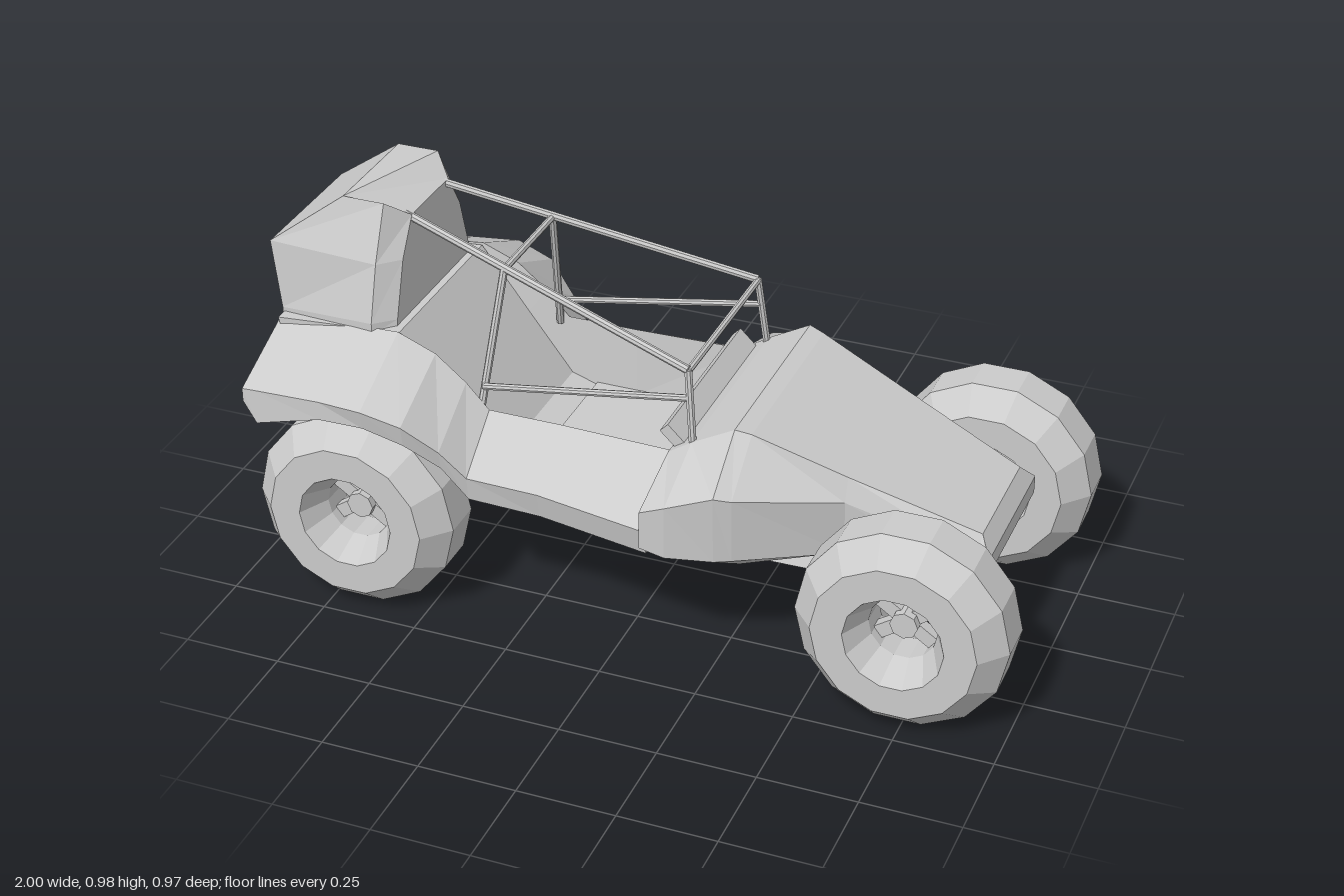
import * as THREE from 'three';
import { mergeVertices } from 'three/addons/utils/BufferGeometryUtils.js';

const grey = new THREE.MeshStandardMaterial({ color: 0xcccccc, flatShading: true });

function part(group, name, geometry) {
  const mesh = new THREE.Mesh(geometry, grey);
  mesh.name = name;
  group.add(mesh);
  return mesh;
}

// Closed solid through equal-length rings of [x, y, z] points, capped at both ends
function loft(rings) {
  const n = rings[0].length, p = rings.flat(), index = [];
  for (let r = 0; r < rings.length - 1; r++) {
    for (let i = 0; i < n; i++) {
      const a = r * n + i, b = r * n + (i + 1) % n;
      index.push(a, b, b + n, a, b + n, a + n);
    }
  }
  const last = (rings.length - 1) * n;
  for (let i = 1; i < n - 1; i++) {
    index.push(0, i + 1, i, last, last + i, last + i + 1);
  }
  // turn the faces outward when the enclosed volume is negative
  let volume = 0;
  for (let i = 0; i < index.length; i += 3) {
    const [a, b, c] = [0, 1, 2].map(k => new THREE.Vector3(...p[index[i + k]]));
    volume += a.dot(b.cross(c));
  }
  if (volume < 0) index.reverse();
  const g = new THREE.BufferGeometry();
  g.setAttribute('position', new THREE.Float32BufferAttribute(p.flat(), 3));
  g.setIndex(index);
  g.computeVertexNormals();
  return g;
}

// Symmetric ring from a half outline of [z, y] pairs at one x
const fullRing = (x, half) => [
  ...half.map(([z, y]) => [x, y, z]),
  ...half.map(([z, y]) => [x, y, -z]).reverse(),
];

function bar(group, name, a, b, r, sides = 8) {
  const from = new THREE.Vector3(...a), to = new THREE.Vector3(...b);
  const dir = to.clone().sub(from);
  const mesh = part(group, name, new THREE.CylinderGeometry(r, r, dir.length(), sides));
  mesh.position.copy(from).add(to).multiplyScalar(0.5);
  mesh.quaternion.setFromUnitVectors(new THREE.Vector3(0, 1, 0), dir.normalize());
}

function makeWheel(name) {
  const wheel = new THREE.Group();
  wheel.name = name;
  const profile = [[0.085, -0.04], [0.125, -0.12], [0.205, -0.12], [0.265, -0.053], [0.265, 0.053],
    [0.205, 0.12], [0.125, 0.12], [0.085, 0.04], [0.085, -0.04]];
  const tyre = new THREE.LatheGeometry(profile.map(q => new THREE.Vector2(...q)), 14);
  tyre.rotateY(Math.PI / 14).rotateX(Math.PI / 2);
  part(wheel, 'tyre', tyre);
  part(wheel, 'hub', new THREE.CylinderGeometry(0.035, 0.035, 0.07, 8).rotateX(Math.PI / 2));
  for (const a of [0.6, -0.6]) {
    part(wheel, 'spokes', new THREE.BoxGeometry(0.175, 0.035, 0.03)).rotation.z = a;
  }
  return wheel;
}

export function createModel() {
  const model = new THREE.Group();
  model.name = 'buggy';

  // Wheels and axles
  for (const [end, x] of [['front', 0.735], ['rear', -0.685]]) {
    for (const s of [1, -1]) {
      const wheel = makeWheel(end + 'Wheel');
      wheel.position.set(x, 0.26, s * 0.364);
      model.add(wheel);
    }
    bar(model, end + 'Axle', [x, 0.26, -0.36], [x, 0.26, 0.36], 0.024, 10);
  }

  // Hood: shoulders flare beside the cockpit and taper to the nose
  part(model, 'hood', loft([
    [0.09, [[0.27, 0.52], [0.46, 0.46], [0.46, 0.36], [0.38, 0.31]]],
    [0.15, [[0.27, 0.56], [0.45, 0.48], [0.45, 0.34], [0.36, 0.288]]],
    [0.26, [[0.27, 0.62], [0.415, 0.51], [0.41, 0.33], [0.34, 0.285]]],
    [0.3, [[0.26, 0.61], [0.395, 0.5], [0.39, 0.33], [0.33, 0.285]]],
    [0.53, [[0.22, 0.52], [0.24, 0.46], [0.23, 0.31], [0.2, 0.295]]],
    [0.85, [[0.16, 0.4], [0.2, 0.36], [0.2, 0.31], [0.19, 0.28]]],
    [0.88, [[0.2, 0.357], [0.2, 0.354], [0.2, 0.314], [0.2, 0.31]]],
  ].map(([x, half]) => fullRing(x, half))));

  // Dash lip behind the hood
  const lip = part(model, 'dashLip', new THREE.BoxGeometry(0.03, 0.08, 0.5));
  lip.position.set(0.1, 0.545, 0);
  lip.rotation.z = 0.8;

  // Side pods that sweep up into the rear fenders
  const sides = [
    [-0.97, [[0.2, 0.66], [0.44, 0.56], [0.44, 0.525], [0.2, 0.525]]],
    [-0.93, [[0.21, 0.663], [0.445, 0.565], [0.45, 0.475], [0.21, 0.5]]],
    [-0.75, [[0.24, 0.68], [0.46, 0.58], [0.46, 0.53], [0.24, 0.53]]],
    [-0.63, [[0.25, 0.69], [0.475, 0.585], [0.465, 0.535], [0.24, 0.525]]],
    [-0.53, [[0.25, 0.65], [0.46, 0.555], [0.45, 0.5], [0.24, 0.48]]],
    [-0.45, [[0.25, 0.585], [0.42, 0.48], [0.41, 0.43], [0.24, 0.4]]],
    [-0.39, [[0.25, 0.52], [0.395, 0.405], [0.385, 0.34], [0.24, 0.33]]],
    [-0.2, [[0.25, 0.52], [0.4, 0.405], [0.385, 0.335], [0.24, 0.33]]],
    [0.1, [[0.26, 0.52], [0.455, 0.405], [0.44, 0.335], [0.24, 0.33]]],
  ];
  for (const s of [1, -1]) {
    part(model, 'sidePodAndFender',
      loft(sides.map(([x, q]) => q.map(([z, y]) => [x, y, s * z]))));
    const sill = part(model, 'sill', new THREE.BoxGeometry(0.2, 0.05, 0.06));
    sill.position.set(-0.3, 0.31, s * 0.28);
  }

  // Sloping seat back and tail between the fenders
  const tail = new THREE.Shape([[-0.965, 0.66], [-0.93, 0.505], [-0.72, 0.28], [-0.3, 0.275],
    [-0.3, 0.335], [-0.38, 0.36], [-0.63, 0.685]].map(q => new THREE.Vector2(...q)));
  const tailGeometry = new THREE.ExtrudeGeometry(tail, { depth: 0.49, bevelEnabled: false });
  part(model, 'seatBackAndTail', tailGeometry.translate(0, 0, -0.245));

  // Cockpit floor and belly plate
  part(model, 'cockpitFloor', new THREE.BoxGeometry(0.42, 0.02, 0.5)).position.set(-0.1, 0.335, 0);
  part(model, 'bellyPlate', loft([
    [-0.72, 0.22, 0.285, 0.27], [-0.41, 0.23, 0.285, 0.265], [0, 0.24, 0.27, 0.247],
    [0.48, 0.2, 0.25, 0.222], [0.7, 0.17, 0.235, 0.197],
  ].map(([x, w, top, bottom]) => fullRing(x, [[w + 0.04, top], [w, bottom]]))));

  // Engine cowl tower: each ring has back, shoulder and front corners
  const tower = [
    [[-0.97, 0.65, 0.21], [-0.7, 0.67, 0.255], [-0.65, 0.67, 0.215]],
    [[-0.97, 0.67, 0.21], [-0.7, 0.7, 0.255], [-0.65, 0.7, 0.21]],
    [[-1, 0.845, 0.195], [-0.7, 0.845, 0.215], [-0.65, 0.845, 0.165]],
    [[-0.81, 0.985, 0.155], [-0.7, 0.985, 0.155], [-0.65, 0.94, 0.105]],
  ].map(h => [...h, ...h.map(([x, y, z]) => [x, y, -z]).reverse()]);
  part(model, 'cowlTower', loft(tower));

  // Roll cage
  const cage = new THREE.Group();
  cage.name = 'rollCage';
  model.add(cage);
  for (const s of [1, -1]) {
    bar(cage, 'roofBar', [-0.67, 0.935, s * 0.095], [0.13, 0.74, s * 0.24], 0.011);
    bar(cage, 'frontPost', [0.13, 0.74, s * 0.24], [0.15, 0.55, s * 0.26], 0.01);
    bar(cage, 'rearPost', [-0.385, 0.865, s * 0.147], [-0.415, 0.5, s * 0.25], 0.01);
    bar(cage, 'sideBar', [-0.41, 0.575, s * 0.235], [0.14, 0.668, s * 0.247], 0.009);
  }
  bar(cage, 'frontCrossBar', [0.13, 0.737, -0.24], [0.13, 0.737, 0.24], 0.009);
  bar(cage, 'rearCrossBar', [-0.385, 0.862, -0.147], [-0.385, 0.862, 0.147], 0.009);

  return model;
}
